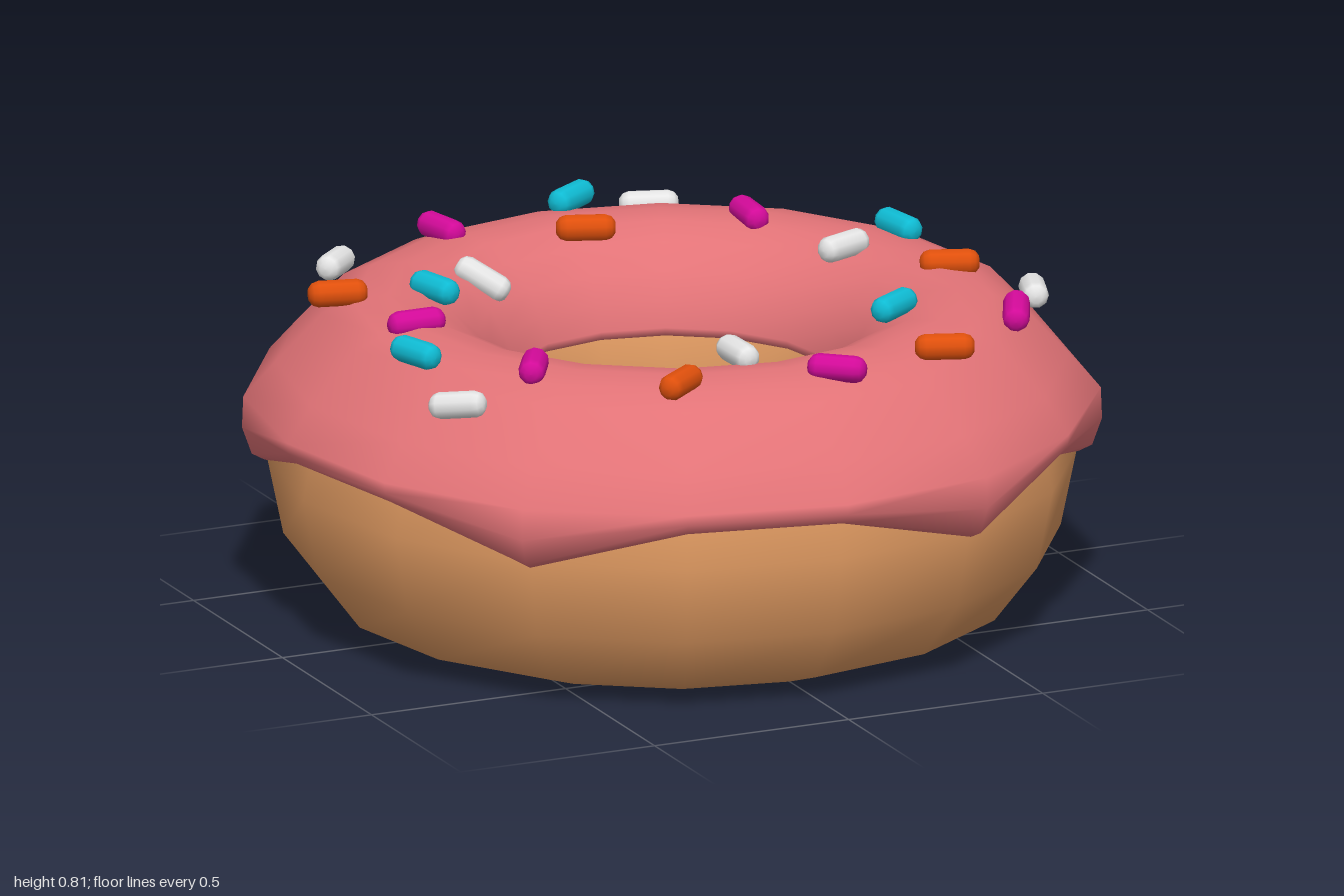
import * as THREE from 'three';

const SIDES = 16;
const mat = (name, color) => {
  const m = new THREE.MeshStandardMaterial({ color });
  m.name = name;
  return m;
};

// Icing shell: one cross-section per column, with a longer lip where it drips
function icingGeometry() {
  const top = [[0.42, 0.54], [0.4, 0.54], [0.395, 0.56], [0.42, 0.62], [0.455, 0.68], [0.52, 0.733],
    [0.59, 0.764], [0.665, 0.772], [0.75, 0.757], [0.82, 0.727], [0.93, 0.61]];
  const plainLip = [[0.99, 0.525], [0.988, 0.5], [0.97, 0.475], [0.945, 0.468], [0.9, 0.48]];
  const dripLip = [[1.005, 0.525], [1.008, 0.45], [0.985, 0.385], [0.955, 0.37], [0.91, 0.39]];
  const drips = new Set([1, 3, 5, 8, 10, 11, 14]);
  const rows = top.length + plainLip.length;
  const positions = [], index = [];
  for (let i = 0; i < SIDES; i++) {
    const a = (i / SIDES) * Math.PI * 2;
    for (const [r, y] of [...top, ...(drips.has(i) ? dripLip : plainLip)]) {
      positions.push(r * Math.sin(a), y, r * Math.cos(a));
    }
    const next = (i + 1) % SIDES;
    for (let j = 0; j < rows - 1; j++) {
      const p = i * rows + j, q = next * rows + j;
      index.push(p, p + 1, q, q, p + 1, q + 1);
    }
  }
  const g = new THREE.BufferGeometry();
  g.setAttribute('position', new THREE.Float32BufferAttribute(positions, 3));
  g.setIndex(index);
  g.computeVertexNormals();
  return g;
}

export function createModel() {
  const group = new THREE.Group();
  group.name = 'donut';
  const ring = new THREE.Group();
  ring.name = 'ring';
  ring.position.z = 0.008;
  group.add(ring);

  // Dough: a tall torus
  const doughGeo = new THREE.TorusGeometry(0.66, 0.29, 12, SIDES);
  doughGeo.scale(1, 1, 0.38 / 0.29).rotateX(Math.PI / 2);
  const dough = new THREE.Mesh(doughGeo, mat('dough', 0xdd9860));
  dough.name = 'dough';
  dough.position.y = 0.38;
  ring.add(dough);

  const icingMat = mat('icing', 0xe27377);
  icingMat.side = THREE.DoubleSide;
  const icing = new THREE.Mesh(icingGeometry(), icingMat);
  icing.name = 'icing';
  ring.add(icing);

  // Sprinkles: [x, z, heading in degrees from +x towards -z]
  const sprinkles = {
    white: [[0.32, -0.82, -25], [-0.57, -0.64, 48], [-0.31, -0.38, -38], [0.51, -0.14, 22],
      [0.83, 0.23, 68], [-0.755, 0.45, -40], [-0.07, 0.53, 92]],
    cyan: [[0.09, -0.755, 33], [-0.5, -0.235, -75], [0.695, -0.235, -80], [-0.755, 0.215, -72],
      [0.42, 0.34, 33]],
    magenta: [[-0.29, -0.655, -78], [0.415, -0.465, 87], [-0.655, 0, 0], [-0.55, 0.43, 60],
      [0.68, 0.46, 70], [0.09, 0.74, -40]],
    orange: [[0.02, -0.52, -20], [-0.725, -0.29, -14], [0.68, 0.085, -20], [-0.29, 0.69, 38],
      [0.39, 0.69, -20]],
  };
  const colours = { white: 0xe6e6e6, cyan: 0x0fbcd4, magenta: 0xd40a9a, orange: 0xe0500c };
  const half = [[0, 0.07], [0.015, 0.069], [0.027, 0.06], [0.032, 0.046]];
  const profile = [...half.map(([r, y]) => [r, -y]), ...half.slice().reverse()];
  const sprinkleGeo = new THREE.LatheGeometry(profile.map(([r, y]) => new THREE.Vector2(r, y)), 10);
  const up = new THREE.Vector3(0, 1, 0);

  for (const [name, list] of Object.entries(sprinkles)) {
    const material = mat(name, colours[name]);
    for (const [x, z, degrees] of list) {
      const r = Math.hypot(x, z);
      const y = 0.777 - 0.85 * Math.max(0, r - 0.805) - 1.5 * Math.max(0, 0.52 - r);
      // Lean each sprinkle along the slope of the icing
      const slope = r > 0.82 ? 0.8 : r < 0.5 ? -0.6 : 0;
      const normal = new THREE.Vector3((x / r) * slope, 1, (z / r) * slope).normalize();
      const a = THREE.MathUtils.degToRad(degrees);
      const heading = new THREE.Vector3(Math.cos(a), 0, -Math.sin(a)).projectOnPlane(normal).normalize();
      const mesh = new THREE.Mesh(sprinkleGeo, material);
      mesh.name = name + 'Sprinkle';
      mesh.position.set(x, y, z);
      mesh.quaternion.setFromUnitVectors(up, heading);
      group.add(mesh);
    }
  }
  return group;
}
